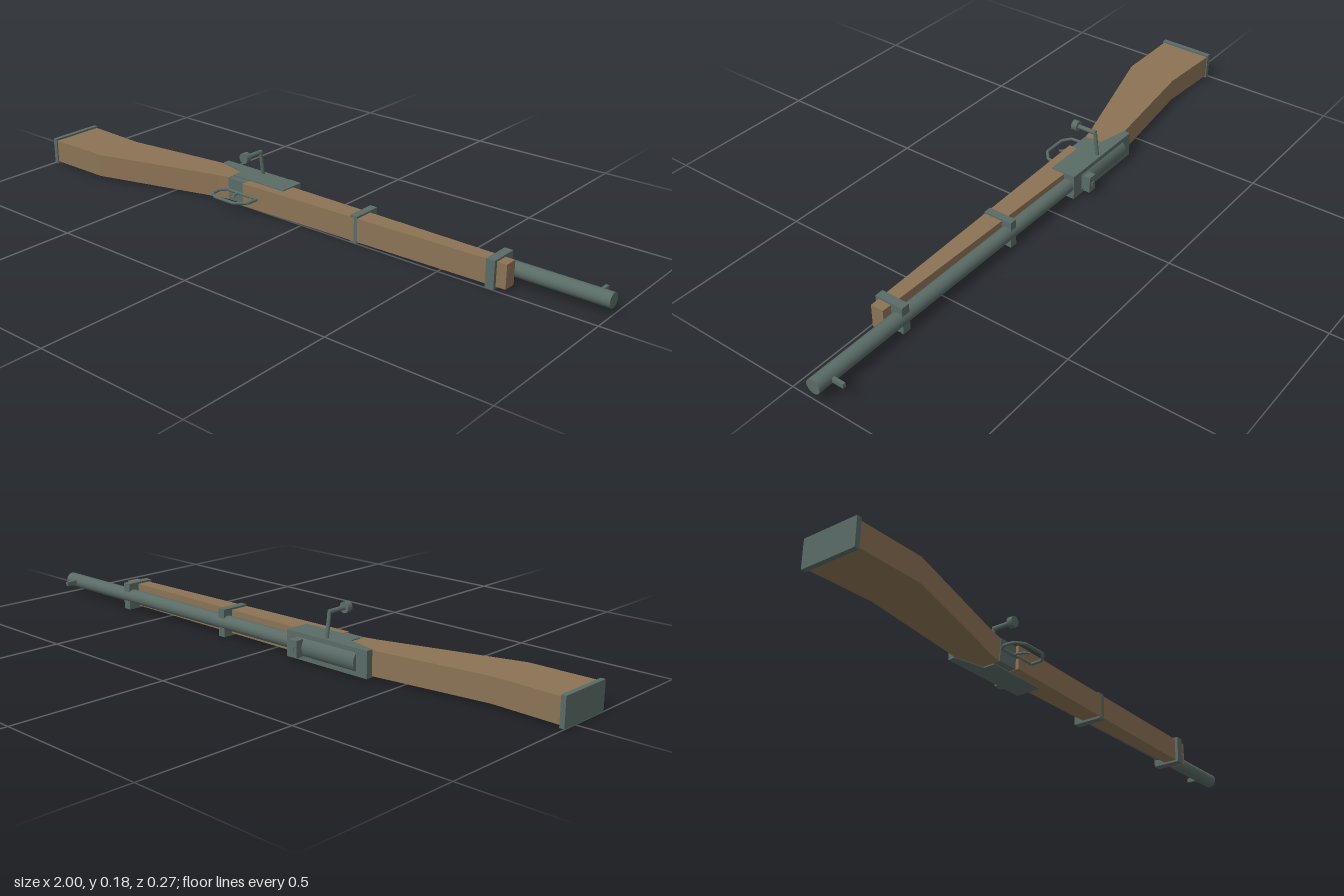
import * as THREE from 'three';

const wood = new THREE.MeshStandardMaterial({ color: 0x8b7355 });
wood.name = 'wood';
const metal = new THREE.MeshStandardMaterial({ color: 0x5a6b66 });
metal.name = 'gunmetal';

const MID = 0.046; // height of the long axis, the rifle lies on its side
const BORE = -0.077; // z of the barrel axis

export function createModel() {
  const group = new THREE.Group();
  group.name = 'rifle';

  function add(name, geometry, material = metal) {
    const mesh = new THREE.Mesh(geometry, material);
    mesh.name = name;
    group.add(mesh);
    return mesh;
  }

  // Box given by its limits on each axis
  function box(name, x0, x1, y0, y1, z0, z1) {
    const g = new THREE.BoxGeometry(x1 - x0, y1 - y0, z1 - z0);
    g.translate((x0 + x1) / 2, (y0 + y1) / 2, (z0 + z1) / 2);
    return add(name, g);
  }

  // Side profile in x and z, extruded upwards from y0 to y1
  function slab(name, points, y0, y1, material) {
    const shape = new THREE.Shape(points.map(([x, z]) => new THREE.Vector2(x, z)));
    const g = new THREE.ExtrudeGeometry(shape, { depth: y1 - y0, bevelEnabled: false });
    g.rotateX(Math.PI / 2);
    g.translate(0, y1, 0);
    return add(name, g, material);
  }

  // Straight rod between two points
  function rod(name, from, to, radius, sides = 16) {
    const a = new THREE.Vector3(...from);
    const b = new THREE.Vector3(...to);
    const mesh = add(name, new THREE.CylinderGeometry(radius, radius, a.distanceTo(b), sides));
    mesh.position.copy(a).lerp(b, 0.5);
    mesh.quaternion.setFromUnitVectors(new THREE.Vector3(0, 1, 0), b.sub(a).normalize());
    return mesh;
  }

  // Bent thin rod through straight segments
  function wire(name, points, radius, closed) {
    const path = new THREE.CurvePath();
    const v = points.map((p) => new THREE.Vector3(p[0], MID, p[1]));
    const count = closed ? v.length : v.length - 1;
    for (let i = 0; i < count; i++) path.add(new THREE.LineCurve3(v[i], v[(i + 1) % v.length]));
    add(name, new THREE.TubeGeometry(path, 64, radius, 8, closed));
  }

  // One-piece stock with a notch for the trigger plate
  slab('stock', [
    [-0.988, -0.045], [-0.77, -0.035], [-0.4, -0.08], [-0.3, -0.078],
    [-0.09, -0.065], [0.715, -0.054], [0.715, -0.012], [-0.09, 0.01],
    [-0.23, 0.014], [-0.23, -0.025], [-0.3, -0.025], [-0.3, 0.002],
    [-0.34, 0.01], [-0.77, 0.132], [-0.988, 0.132],
  ], 0.009, 0.084, wood);
  box('buttPlate', -1, -0.985, 0.002, 0.09, -0.048, 0.136);

  // Receiver with a stepped rear edge
  slab('receiver', [
    [-0.4, -0.102], [-0.09, -0.102], [-0.09, -0.018],
    [-0.3, -0.018], [-0.3, -0.056], [-0.4, -0.08],
  ], 0.005, 0.087, metal);
  box('triggerPlate', -0.3, -0.23, 0.01, 0.083, -0.03, 0.004);

  // Bolt body and handle
  rod('bolt', [-0.36, MID, BORE], [-0.13, MID, BORE], 0.037, 16);
  rod('boltHandleStem', [-0.235, 0.08, -0.088], [-0.235, 0.163, -0.077], 0.006, 10);
  rod('boltHandleArm', [-0.235, 0.163, -0.079], [-0.235, 0.163, -0.01], 0.007, 10);
  rod('boltKnob', [-0.235, 0.163, -0.016], [-0.235, 0.163, 0.003], 0.017, 12);

  // Barrel and its bands
  rod('barrel', [-0.1, MID, BORE], [1, MID, BORE], 0.023, 20);
  box('middleBand', 0.19, 0.215, 0.002, 0.09, -0.094, 0.002);
  box('frontBand', 0.656, 0.684, 0.002, 0.09, -0.094, 0);

  // Sights
  box('rearSight', -0.16, -0.13, 0.019, 0.072, -0.133, -0.108);
  box('rearSightBlade', -0.15, -0.14, 0.039, 0.053, -0.136, -0.13);
  box('frontSight', 0.945, 0.955, 0.039, 0.053, -0.137, -0.09);

  // Trigger guard and trigger
  wire('triggerGuard', [
    [-0.3, 0.01], [-0.315, 0.03], [-0.312, 0.064], [-0.285, 0.083],
    [-0.205, 0.083], [-0.172, 0.055], [-0.17, 0.012],
  ], 0.005, true);
  wire('trigger', [[-0.25, 0], [-0.25, 0.025], [-0.244, 0.042], [-0.23, 0.056]], 0.004, false);

  return group;
}
